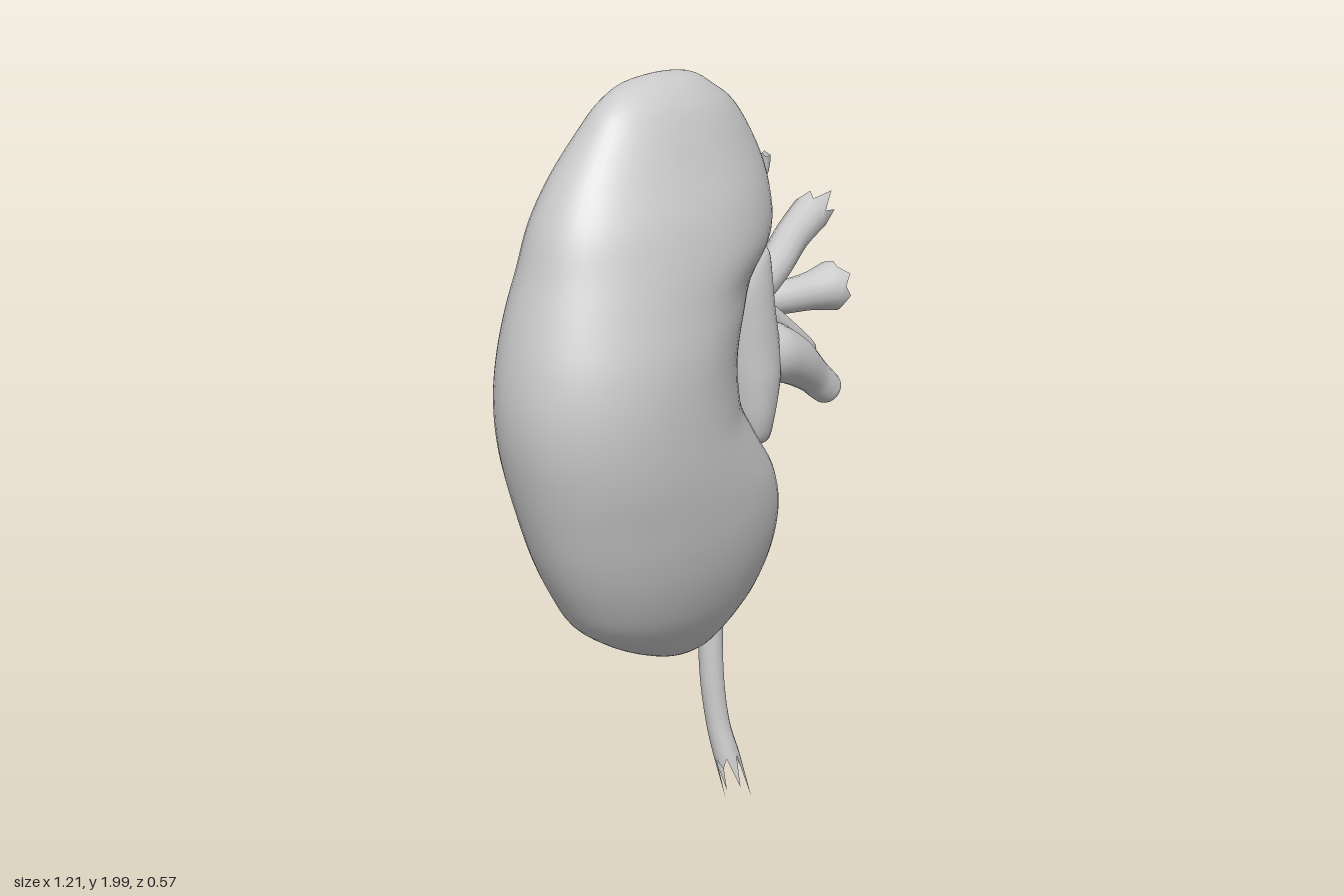
import * as THREE from 'three';

const material = new THREE.MeshStandardMaterial({ color: 0xcccccc, side: THREE.DoubleSide });

// Catmull-Rom sample of every column in a list of rows, t from 0 to 1
function sample(rows, t) {
  const last = rows.length - 1;
  const i = Math.min(Math.floor(t * last), last - 1);
  const u = t * last - i;
  const row = (k) => rows[Math.max(0, Math.min(last, k))];
  return rows[0].map((_, c) => {
    const [a, b, d, e] = [row(i - 1)[c], row(i)[c], row(i + 1)[c], row(i + 2)[c]];
    return b + 0.5 * u * (d - a + u * (2 * a - 5 * b + 4 * d - e + u * (3 * (b - d) + e - a)));
  });
}

// Skin closed rings with smooth shading; point(t, angle, ring, side) gives [x, y, z]
function skin(name, steps, sides, point) {
  const positions = [], index = [];
  for (let i = 0; i <= steps; i++) {
    for (let j = 0; j < sides; j++) {
      positions.push(...point(i / steps, (j / sides) * Math.PI * 2, i, j));
      if (i === steps) continue;
      const a = i * sides + j, b = i * sides + ((j + 1) % sides);
      index.push(a, b, a + sides, b, b + sides, a + sides);
    }
  }
  const geometry = new THREE.BufferGeometry();
  geometry.setAttribute('position', new THREE.Float32BufferAttribute(positions, 3));
  geometry.setIndex(index);
  geometry.computeVertexNormals();
  const mesh = new THREE.Mesh(geometry, material);
  mesh.name = name;
  return mesh;
}

// Stack of sheared, slightly squared and bowed ellipses; rows are [y, xMin, xMax, zCentre, halfDepth]
const soften = (v) => Math.sign(v) * Math.abs(v) ** 0.9;
function loft(name, rows, steps, sides, shear, dent = () => 0) {
  return skin(name, steps, sides, (t, angle) => {
    const [y, x0, x1, zc, depth] = sample(rows, t);
    const c = soften(Math.cos(angle));
    const dx = ((x1 - x0) / 2) * c;
    const x = (x0 + x1) / 2 + dx;
    const z = zc - shear * dx + depth * (soften(Math.sin(angle)) - 0.1 * c * c);
    return [x, y, z - dent(x, y) * Math.max(0, Math.sin(angle))];
  });
}

// Tube of changing radius; rows are [x, y, z, radius], fray is the length of the torn end
function vessel(name, rows, { steps = 24, sides = 14, fray = 0 } = {}) {
  const ref = new THREE.Vector3(0, 0, 1);
  return skin(name, steps, sides, (t, angle, i, j) => {
    const [x, y, z, r] = sample(rows, t);
    const before = new THREE.Vector3(...sample(rows, Math.max(0, t - 0.01)));
    const tangent = new THREE.Vector3(...sample(rows, Math.min(1, t + 0.01))).sub(before).normalize();
    const n = tangent.clone().cross(ref).normalize();
    const b = tangent.clone().cross(n);
    const p = new THREE.Vector3(x, y, z)
      .addScaledVector(n, r * Math.cos(angle))
      .addScaledVector(b, r * Math.sin(angle));
    if (i === steps && j % 2) p.addScaledVector(tangent, fray * (0.6 + 0.4 * Math.sin(j * 2.3)));
    return p.toArray();
  });
}

export function createModel() {
  const model = new THREE.Group();

  // Bean-shaped organ with a notch on its inner side
  const bodyRows = [
    [2.0, -0.126, -0.124, -0.02, 0.001],
    [1.986, -0.23, -0.01, -0.015, 0.042],
    [1.95, -0.3, 0.055, -0.008, 0.076],
    [1.9, -0.35, 0.12, -0.007, 0.106],
    [1.8, -0.435, 0.185, -0.004, 0.148],
    [1.7, -0.495, 0.215, 0.003, 0.185],
    [1.6, -0.53, 0.21, 0.01, 0.207],
    [1.5, -0.565, 0.135, 0.02, 0.22],
    [1.4, -0.592, 0.08, 0.031, 0.231],
    [1.3, -0.605, 0.06, 0.036, 0.236],
    [1.2, -0.6, 0.08, 0.036, 0.236],
    [1.1, -0.58, 0.135, 0.032, 0.232],
    [1.0, -0.552, 0.205, 0.026, 0.221],
    [0.9, -0.517, 0.235, 0.02, 0.207],
    [0.8, -0.468, 0.225, 0.014, 0.184],
    [0.7, -0.4, 0.185, 0.004, 0.151],
    [0.62, -0.29, 0.12, -0.009, 0.112],
    [0.565, -0.18, 0.05, -0.02, 0.075],
    [0.541, -0.11, 0.0, -0.03, 0.038],
    [0.535, -0.051, -0.049, -0.03, 0.001],
  ];
  const bump = (v, centre, width) => Math.exp(-(((v - centre) / width) ** 2));
  const folds = (x, y) => 0.016 * bump(x, 0.05, 0.1) * (bump(y, 1.5, 0.05) + bump(y, 1.18, 0.05));
  model.add(loft('organBody', bodyRows, 76, 56, 0.13, folds));

  // Smooth sac filling the notch
  const sacRows = [
    [1.55, 0.12, 0.16, 0.02, 0.004],
    [1.538, 0.07, 0.185, 0.02, 0.05],
    [1.48, 0.03, 0.194, 0.016, 0.076],
    [1.4, 0.035, 0.2, 0.012, 0.088],
    [1.3, 0.045, 0.215, 0.01, 0.094],
    [1.22, 0.055, 0.215, 0.01, 0.096],
    [1.12, 0.07, 0.197, 0.005, 0.09],
    [1.06, 0.09, 0.19, 0.002, 0.066],
    [1.045, 0.15, 0.17, 0.0, 0.004],
  ];
  model.add(loft('notchSac', sacRows, 40, 28, 0.1));

  // Blunt branch leaving the sac
  model.add(vessel('bluntBranch', [
    [0.14, 1.29, 0.015, 0.06], [0.2, 1.27, 0.02, 0.074], [0.28, 1.23, 0.015, 0.062],
    [0.36, 1.17, 0.0, 0.046], [0.4, 1.135, -0.005, 0.043], [0.425, 1.115, -0.005, 0.036],
    [0.44, 1.104, -0.005, 0.002],
  ], { steps: 30, sides: 18 }));
  model.add(vessel('thinBranch', [
    [0.15, 1.42, -0.01, 0.025], [0.23, 1.35, -0.01, 0.025], [0.32, 1.27, -0.01, 0.024],
    [0.36, 1.232, -0.01, 0.02], [0.37, 1.225, -0.01, 0.001],
  ]));

  // Two torn vessels reaching sideways
  model.add(vessel('upperVessel', [
    [0.08, 1.37, -0.02, 0.045], [0.2, 1.4, -0.05, 0.045], [0.32, 1.438, -0.1, 0.044],
    [0.44, 1.475, -0.17, 0.045], [0.54, 1.505, -0.215, 0.05],
  ], { fray: 0.07 }));
  model.add(vessel('lowerVessel', [
    [0.08, 1.335, -0.235, 0.02], [0.15, 1.34, -0.22, 0.028], [0.24, 1.335, -0.175, 0.036],
    [0.36, 1.335, -0.14, 0.042], [0.46, 1.335, -0.13, 0.048], [0.535, 1.335, -0.13, 0.064],
  ], { fray: 0.025 }));

  // Small fingers where the lower vessel splits
  const tips = [[0.04, 1.42, -0.2], [0.03, 1.34, -0.245], [0.06, 1.27, -0.262], [0.11, 1.25, -0.272]];
  for (const [x, y, z] of tips) {
    model.add(vessel('vesselFinger', [
      [0.12, 1.34, -0.23, 0.016], [(x + 0.1) / 2, (y + 1.34) / 2, z - 0.005, 0.013], [x, y, z, 0.006],
    ], { steps: 8, sides: 8, fray: 0.015 }));
  }

  // Funnel and long duct hanging behind, torn at the foot
  model.add(vessel('duct', [
    [-0.03, 1.31, -0.11, 0.05], [0.05, 1.28, -0.16, 0.08], [0.13, 1.2, -0.193, 0.08],
    [0.183, 1.08, -0.2, 0.069], [0.208, 0.94, -0.195, 0.058], [0.203, 0.8, -0.185, 0.046],
    [0.185, 0.65, -0.175, 0.036], [0.17, 0.5, -0.165, 0.033], [0.167, 0.35, -0.155, 0.032],
    [0.175, 0.22, -0.14, 0.031], [0.188, 0.13, -0.12, 0.034],
  ], { steps: 50, fray: 0.13 }));
  model.add(vessel('funnelWing', [
    [0.16, 1.13, -0.19, 0.06], [0.09, 1.19, -0.175, 0.062], [0.0, 1.21, -0.13, 0.05],
  ]));

  // Tiny stubs on the inner edge
  for (const [x, y, size] of [[0.2, 1.72, 0.09], [0.212, 0.79, 0.04]]) {
    model.add(vessel('edgeStub', [
      [x - 0.02, y - size / 2, 0, 0.004], [x, y, 0.0, size * 0.1], [x, y + size * 0.4, 0, size * 0.15],
    ], { steps: 4, sides: 6, fray: 0.01 }));
  }

  return model;
}
